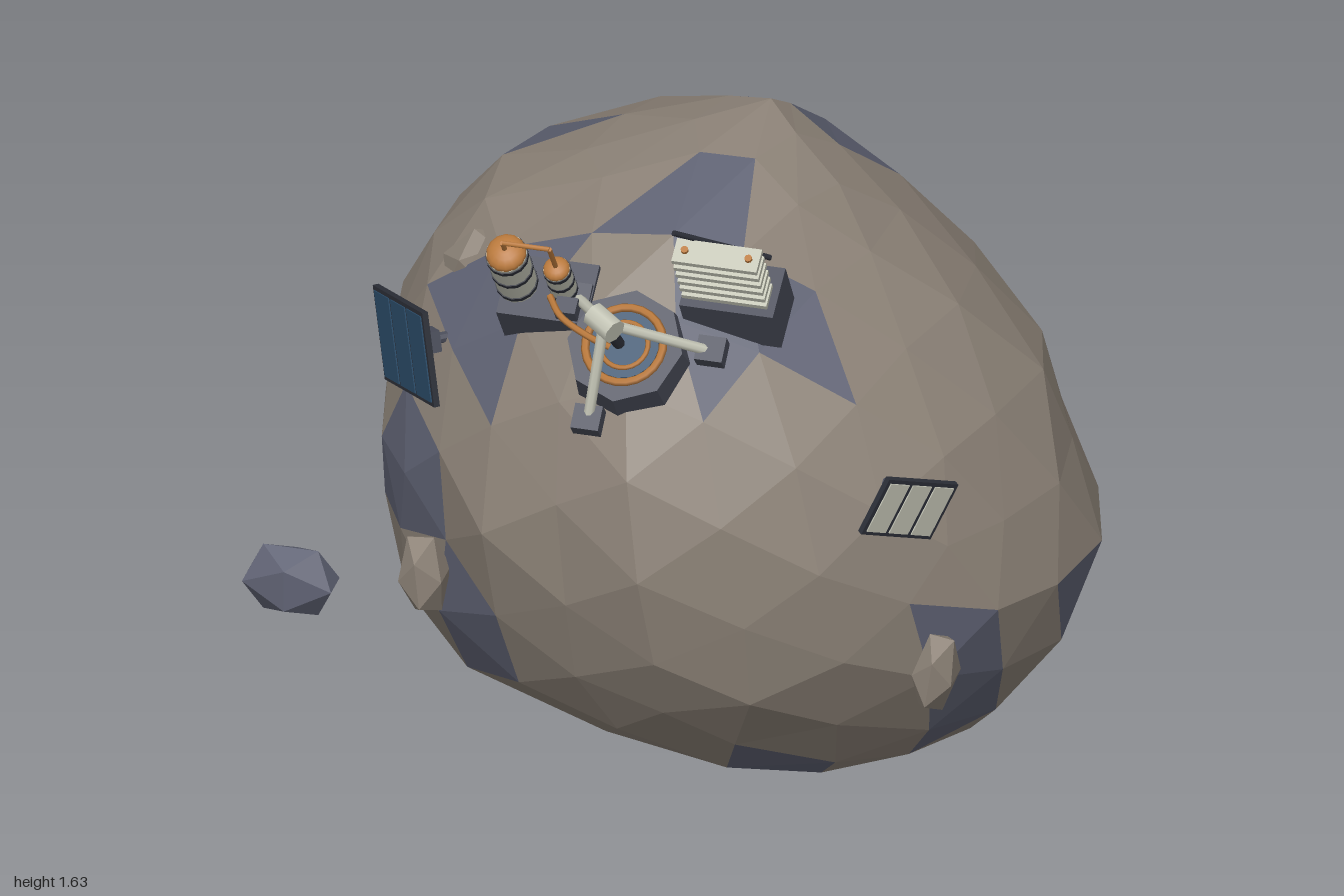
import * as THREE from 'three';

const mat = (name, color, extra = {}) => {
  const m = new THREE.MeshStandardMaterial({ color, ...extra });
  m.name = name;
  return m;
};
const V = (x, y, z) => new THREE.Vector3(x, y, z);

export function createModel() {
  const model = new THREE.Group();
  model.name = 'asteroidOutpost';
  const rock = mat('brownRock', 0x8c8277, { flatShading: true });
  const slate = mat('slateRock', 0x5f6273, { flatShading: true });
  const hull = mat('darkHull', 0x4a4d5a, { flatShading: true });
  const pale = mat('paleMetal', 0xc4c5b6);
  const copper = mat('copper', 0xb9793c);
  const solar = mat('solarBlue', 0x2b4c69);
  const dark = mat('darkFrame', 0x2c2f38);

  const mesh = (parent, name, geo, material, x = 0, y = 0, z = 0) => {
    const m = new THREE.Mesh(geo, material);
    m.name = name;
    m.position.set(x, y, z);
    parent.add(m);
    return m;
  };
  const box = (p, name, w, h, d, m, x, y, z) => mesh(p, name, new THREE.BoxGeometry(w, h, d), m, x, y, z);
  const rod = (p, name, a, b, r, m) => {
    const c = mesh(p, name, new THREE.CylinderGeometry(r, r, a.distanceTo(b), 8), m);
    c.position.copy(a).lerp(b, 0.5);
    c.quaternion.setFromUnitVectors(V(0, 1, 0), b.clone().sub(a).normalize());
    return c;
  };
  const group = (name, x, y, z, tilt = 0) => {
    const g = new THREE.Group();
    g.name = name;
    g.position.set(x, y, z);
    g.rotation.x = tilt;
    model.add(g);
    return g;
  };

  // Asteroid cross-sections: height, x min, x max, z min, z max
  const levels = [
    [0, 0.24, 0.38, -0.08, 0.08], [0.03, 0.02, 0.53, -0.22, 0.17], [0.12, -0.25, 0.72, -0.33, 0.32],
    [0.24, -0.55, 0.85, -0.49, 0.45], [0.45, -0.66, 0.96, -0.64, 0.61], [0.6, -0.67, 0.99, -0.68, 0.65],
    [0.8, -0.66, 0.92, -0.705, 0.7], [1.0, -0.645, 0.84, -0.705, 0.65], [1.2, -0.56, 0.68, -0.6, 0.54],
    [1.36, -0.42, 0.51, -0.53, 0.42], [1.45, -0.23, 0.41, -0.4, 0.3], [1.53, -0.02, 0.31, -0.28, 0.12],
    [1.58, 0.19, 0.21, -0.2, -0.18],
  ];
  const section = (y) => {
    let i = 0;
    while (i < levels.length - 2 && y > levels[i + 1][0]) i++;
    const a = levels[i], b = levels[i + 1], t = (y - a[0]) / (b[0] - a[0]);
    return a.map((v, k) => v + (b[k] - v) * t);
  };
  const shapeVertex = (n) => {
    const y = 0.79 + 0.79 * n.y;
    const [, x0, x1, z0, z1] = section(y);
    const h = Math.hypot(n.x, n.z);
    const c = h > 1e-4 ? n.x / h : 0, s = h > 1e-4 ? n.z / h : 0;
    const bumps = 0.02 * Math.sin(n.x * 9 + n.y * 7) * Math.cos(n.z * 8 - n.y * 5);
    const r = 1 + (s > 0 ? -0.06 : 0.05) * Math.abs(2 * s * c) + bumps;
    return V((x0 + x1) / 2 + (x1 - x0) / 2 * c * r, y, (z0 + z1) / 2 + (z1 - z0) / 2 * s * r);
  };

  // Slate patches: centre and reach
  const patches = [
    [-0.57, 0.75, 0.3, 0.2], [-0.36, 0.42, 0.47, 0.17], [-0.3, 1.24, 0.33, 0.17], [0.32, 0.1, 0.3, 0.17],
    [0.3, 1.32, 0.33, 0.16], [0.13, 1.44, 0.2, 0.14], [0.82, 0.48, 0.4, 0.14], [0.78, 0.27, 0.22, 0.16],
    [0.83, 0.27, -0.2, 0.17], [0.96, 0.54, -0.08, 0.12], [0.48, 0.12, -0.33, 0.17], [0.2, 1.43, -0.34, 0.18],
    [-0.33, 1.27, -0.33, 0.18], [-0.64, 0.78, -0.08, 0.16], [-0.62, 0.55, -0.2, 0.15],
    [-0.45, 0.26, -0.3, 0.17], [-0.25, 0.14, -0.22, 0.15],
  ];
  const ball = new THREE.IcosahedronGeometry(1, 3).getAttribute('position');
  const faces = [[], []];
  for (let i = 0; i < ball.count; i += 3) {
    const tri = [0, 1, 2].map((k) => shapeVertex(V(0, 0, 0).fromBufferAttribute(ball, i + k)));
    const mid = tri[0].clone().add(tri[1]).add(tri[2]).divideScalar(3);
    const inPatch = patches.some(([x, y, z, r]) => mid.distanceTo(V(x, y, z)) < r);
    tri.forEach((p) => faces[inPatch ? 1 : 0].push(p.x, p.y, p.z));
  }
  faces.forEach((list, i) => {
    const g = new THREE.BufferGeometry();
    g.setAttribute('position', new THREE.Float32BufferAttribute(list, 3));
    g.computeVertexNormals();
    mesh(model, i ? 'asteroidPatches' : 'asteroidBody', g, i ? slate : rock);
  });

  // Boulders on the surface and one drifting rock
  const boulder = (name, m, x, y, z, sx, sy, sz, roll) => {
    const b = mesh(model, name, new THREE.IcosahedronGeometry(1, 0), m, x, y, z);
    b.scale.set(sx, sy, sz);
    b.rotation.z = roll;
  };
  boulder('boulder', rock, -0.44, 0.59, 0.44, 0.06, 0.11, 0.08, 0.1);
  boulder('boulder', rock, 0.76, 0.51, 0.43, 0.055, 0.11, 0.08, -0.15);
  boulder('boulder', rock, -0.4, 1.25, 0.14, 0.1, 0.07, 0.07, 0.8);
  boulder('driftingRock', slate, -0.893, 0.23, -0.06, 0.123, 0.098, 0.07, 0);

  // Drill platform with ring and tripod
  const drill = group('drillRig', 0.05, 1.285, 0.5, 0.72);
  mesh(drill, 'platform', new THREE.CylinderGeometry(0.135, 0.145, 0.09, 8), hull, 0, -0.03, 0);
  mesh(drill, 'drillWell', new THREE.CylinderGeometry(0.08, 0.08, 0.008, 20), solar, 0, 0.018, 0);
  for (const r of [0.09, 0.055]) {
    mesh(drill, 'drillRing', new THREE.TorusGeometry(r, r * 0.11, 6, 24), copper, 0, 0.022, 0).rotation.x = Math.PI / 2;
  }
  const apex = V(-0.03, 0.13, -0.01);
  rod(drill, 'drillShaft', apex, V(-0.01, 0, 0), 0.014, dark);
  rod(drill, 'drillHead', V(-0.06, 0.125, -0.03), V(0, 0.135, 0.01), 0.03, pale);
  for (const [x, y, z] of [[-0.06, -0.035, 0.17], [0.19, -0.03, -0.03], [-0.14, -0.02, -0.11]]) {
    rod(drill, 'tripodLeg', apex, V(x, y, z), 0.013, pale);
    box(drill, 'tripodFoot', 0.065, 0.04, 0.06, hull, x, y, z);
  }

  // Storage tanks
  const tanks = group('tankModule', -0.16, 1.335, 0.39, 0.63);
  box(tanks, 'tankBase', 0.21, 0.13, 0.15, hull, 0, -0.04, 0);
  box(tanks, 'controlBox', 0.05, 0.05, 0.04, hull, 0.06, 0.04, 0.05);
  for (const [x, r, h] of [[-0.07, 0.047, 0.165], [0.04, 0.031, 0.115]]) {
    mesh(tanks, 'tank', new THREE.CylinderGeometry(r, r, h, 14), pale, x, 0.03 + h / 2, 0);
    for (const f of [0.1, 0.52, 0.92]) {
      mesh(tanks, 'tankBand', new THREE.CylinderGeometry(r * 1.06, r * 1.06, 0.012, 14), dark, x, 0.03 + h * f, 0);
    }
    const cap = new THREE.SphereGeometry(r, 14, 5, 0, Math.PI * 2, 0, Math.PI / 2).scale(1, 0.55, 1);
    mesh(tanks, 'tankCap', cap, copper, x, 0.03 + h, 0);
  }
  const pipe = [V(-0.07, 0.21, 0), V(-0.07, 0.25, 0), V(0.04, 0.25, 0), V(0.04, 0.15, 0)];
  for (let i = 0; i < 3; i++) rod(tanks, 'tankPipe', pipe[i], pipe[i + 1], 0.006, copper);
  const feed = new THREE.CatmullRomCurve3([V(-0.14, 1.37, 0.46), V(-0.1, 1.35, 0.51), V(-0.03, 1.32, 0.53), V(0.02, 1.3, 0.53)]);
  mesh(model, 'feedPipe', new THREE.TubeGeometry(feed, 16, 0.008, 6), copper);

  // Slatted radiator
  const cooler = group('radiator', 0.27, 1.385, 0.37, 0.56);
  box(cooler, 'radiatorBase', 0.22, 0.14, 0.13, hull, 0, -0.03, 0);
  for (const x of [-0.075, 0.075]) rod(cooler, 'radiatorPost', V(x, 0.03, 0.03), V(x, 0.25, 0.03), 0.009, copper);
  for (let i = 0; i < 6; i++) box(cooler, 'radiatorSlat', 0.2, 0.014, 0.06, pale, 0, 0.075 + i * 0.032, 0.03);
  rod(model, 'antennaRod', V(0.17, 1.62, 0.53), V(0.35, 1.49, 0.36), 0.007, dark);

  // Arm-mounted panels: u runs along the width, v up the height
  const panel = (name, x, y, z, u, v, cellMat) => {
    const g = group(name, x, y, z);
    const w = u.length(), h = v.length();
    const n = u.clone().cross(v).normalize();
    const right = u.clone().normalize();
    g.quaternion.setFromRotationMatrix(new THREE.Matrix4().makeBasis(right, n.clone().cross(right), n));
    box(g, 'panelFrame', w, h, 0.014, dark, 0, 0, 0);
    for (let i = -1; i <= 1; i++) box(g, 'panelCell', w / 3 - 0.014, h - 0.02, 0.008, cellMat, i * (w / 3 - 0.003), 0, 0.006);
    rod(g, 'panelArm', V(0, 0, 0), V(0, 0, -0.15), 0.013, hull);
    box(g, 'panelHub', 0.05, 0.05, 0.03, hull, 0, 0, -0.06);
  };
  panel('solarPanel', -0.505, 1.13, 0.36, V(0.18, 0.08, 0.23), V(-0.03, 0.22, -0.03), solar);
  panel('coolingPanel', 0.7, 0.94, 0.45, V(0.12, -0.08, -0.155), V(0.055, 0.14, -0.02), pale);
  return model;
}
